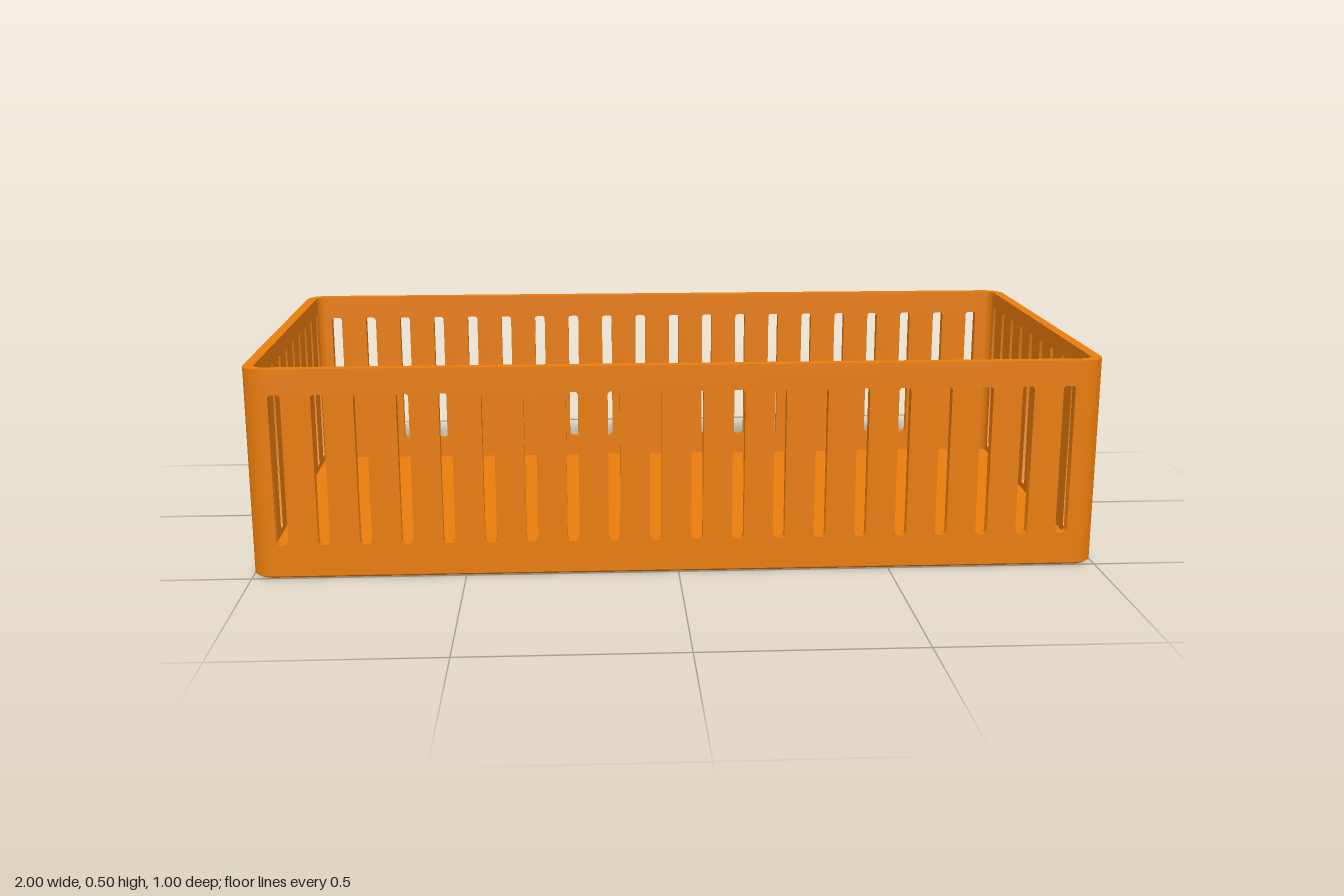
import * as THREE from 'three';
import { toCreasedNormals } from 'three/addons/utils/BufferGeometryUtils.js';

const W = 1, D = 0.5, H = 0.5; // half width, half depth, height
const T = 0.025, R = 0.05; // wall thickness, outer corner radius

// Rounded rectangle centred on (cx, cy)
function roundedRect(path, cx, cy, hw, hh, r) {
  path.absarc(cx + hw - r, cy + hh - r, r, 0, Math.PI / 2);
  path.absarc(cx - hw + r, cy + hh - r, r, Math.PI / 2, Math.PI);
  path.absarc(cx - hw + r, cy - hh + r, r, Math.PI, Math.PI * 1.5);
  path.absarc(cx + hw - r, cy - hh + r, r, Math.PI * 1.5, Math.PI * 2);
  path.closePath();
  return path;
}

// Upright panel pierced by a row of slots, thickness along z
function slottedPanel(half, count, pitch, offset, slotWidth, y0, y1) {
  const shape = new THREE.Shape();
  shape.moveTo(-half, T).lineTo(half, T).lineTo(half, H).lineTo(-half, H).closePath();
  for (let i = 0; i < count; i++) {
    const x = offset + (i - (count - 1) / 2) * pitch;
    shape.holes.push(roundedRect(new THREE.Path(), x, (y0 + y1) / 2, slotWidth / 2, (y1 - y0) / 2, 0.008));
  }
  const geo = new THREE.ExtrudeGeometry(shape, { depth: T, bevelEnabled: false, curveSegments: 5 });
  return toCreasedNormals(geo.translate(0, 0, -T / 2), 0.6);
}

export function createModel() {
  const group = new THREE.Group();
  const material = new THREE.MeshStandardMaterial({ color: 0xe87c0c });
  const add = (name, geo) => {
    const mesh = new THREE.Mesh(geo, material);
    mesh.name = name;
    group.add(mesh);
    return mesh;
  };

  // Floor plate, with its lower edge chamfered
  const plate = new THREE.ExtrudeGeometry(roundedRect(new THREE.Shape(), 0, 0, W, D, R),
    { depth: T, steps: 2, bevelEnabled: false, curveSegments: 12 }).rotateX(-Math.PI / 2);
  const p = plate.attributes.position;
  for (let i = 0; i < p.count; i++) {
    const y = p.getY(i);
    if (y < 0.001) p.setXYZ(i, p.getX(i) * 0.995, 0, p.getZ(i) * 0.99);
    else if (y < T - 0.001) p.setY(i, 0.005);
  }
  plate.computeVertexNormals();
  add('floor', toCreasedNormals(plate, 0.5));

  // Long and short slotted walls
  const longWall = slottedPanel(W - R, 20, 0.0968, -0.005, 0.028, 0.08, 0.44);
  const shortWall = slottedPanel(D - R, 10, 0.0958, 0.002, 0.025, 0.04, 0.46);
  for (const s of [1, -1]) {
    add(s > 0 ? 'frontWall' : 'backWall', longWall).position.z = s * (D - T / 2);
    const side = add(s > 0 ? 'leftWall' : 'rightWall', shortWall);
    side.position.x = s * (W - T / 2);
    side.rotation.y = Math.PI / 2;
  }

  // Rounded corner posts
  const arc = new THREE.Shape();
  arc.absarc(0, 0, R, 0, Math.PI / 2, false);
  arc.absarc(0, 0, R - T, Math.PI / 2, 0, true);
  arc.closePath();
  const corner = toCreasedNormals(new THREE.ExtrudeGeometry(arc,
    { depth: H - T, bevelEnabled: false, curveSegments: 12 }).rotateX(-Math.PI / 2), 0.5);
  [[1, -1], [-1, -1], [-1, 1], [1, 1]].forEach(([sx, sz], i) => {
    const post = add((sz > 0 ? 'front' : 'back') + (sx > 0 ? 'Left' : 'Right') + 'Corner', corner);
    post.position.set(sx * (W - R), T, sz * (D - R));
    post.rotation.y = i * Math.PI / 2;
  });
  return group;
}
